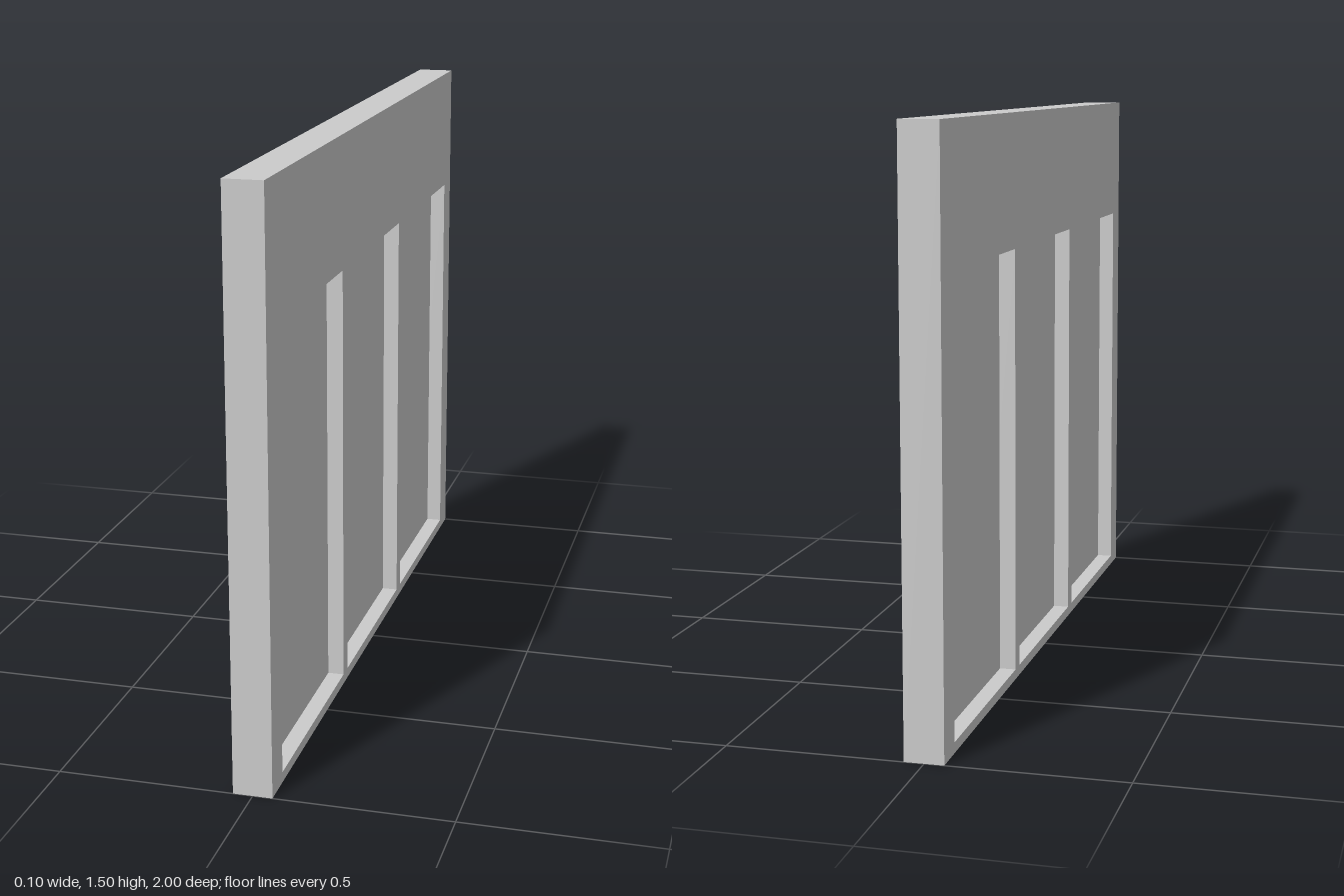
import * as THREE from 'three';

const LENGTH = 2, HEIGHT = 1.505, THICKNESS = 0.1;
const PANEL_BOTTOM = 0.027, PANEL_TOP = 1.155, PANEL_WIDTH = 0.581;
const PANEL_CENTERS = [-0.6245, 0, 0.6245];
const RECESS = 0.043;

// Rectangle outline, used for the wall and its openings
function rectangle(target, x0, y0, x1, y1) {
  target.moveTo(x0, y0);
  target.lineTo(x1, y0);
  target.lineTo(x1, y1);
  target.lineTo(x0, y1);
  target.closePath();
  return target;
}

export function createModel() {
  const group = new THREE.Group();
  group.name = 'panelledWall';
  const material = new THREE.MeshStandardMaterial({ color: 0xcccccc, flatShading: true });

  // Frame with three openings, turned so its thickness runs along x
  const outline = rectangle(new THREE.Shape(), -LENGTH / 2, 0, LENGTH / 2, HEIGHT);
  for (const c of PANEL_CENTERS) {
    outline.holes.push(rectangle(new THREE.Path(),
      c - PANEL_WIDTH / 2, PANEL_BOTTOM, c + PANEL_WIDTH / 2, PANEL_TOP));
  }
  const frameGeometry = new THREE.ExtrudeGeometry(outline, { depth: THICKNESS, bevelEnabled: false });
  frameGeometry.translate(0, 0, -THICKNESS / 2);
  frameGeometry.rotateY(Math.PI / 2);
  const frame = new THREE.Mesh(frameGeometry, material);
  frame.name = 'frame';
  group.add(frame);

  // Thin panels recessed from both faces
  const panelGeometry = new THREE.BoxGeometry(
    THICKNESS - 2 * RECESS, PANEL_TOP - PANEL_BOTTOM, PANEL_WIDTH);
  PANEL_CENTERS.forEach((z, i) => {
    const panel = new THREE.Mesh(panelGeometry, material);
    panel.name = `panel${i + 1}`;
    panel.position.set(0, (PANEL_TOP + PANEL_BOTTOM) / 2, z);
    group.add(panel);
  });

  return group;
}
